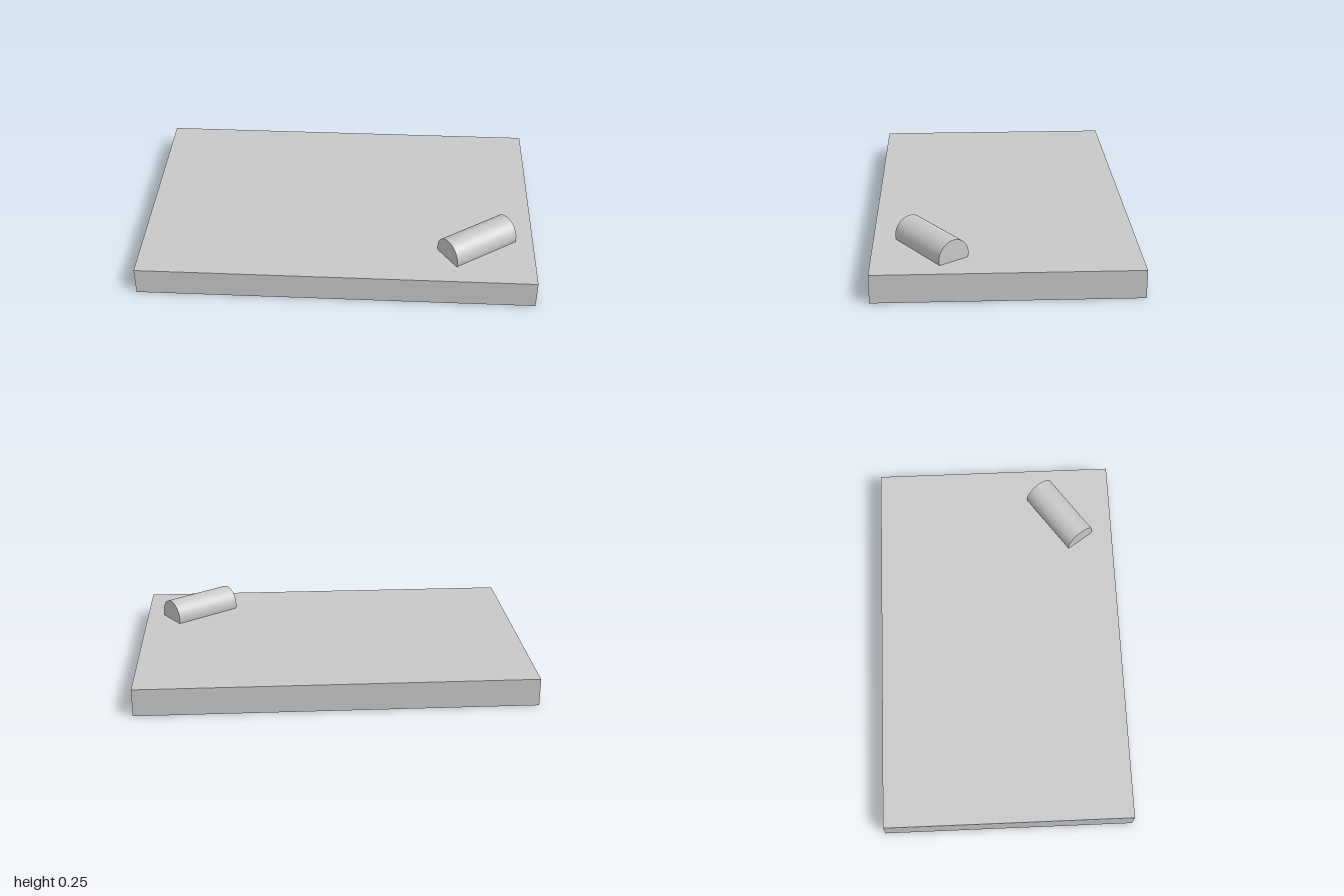
import * as THREE from 'three';

export function createModel() {
  const group = new THREE.Group();
  const grey = new THREE.MeshStandardMaterial({ color: 0xc8c8c8 });
  grey.name = 'light grey';

  // flat rectangular base
  const height = 0.142;
  const slab = new THREE.Mesh(new THREE.BoxGeometry(2, height, 1.28), grey);
  slab.name = 'slab';
  slab.position.y = height / 2;
  group.add(slab);

  // cylinder lying diagonally, partly sunk into the slab
  const radius = 0.084;
  const rollerShape = new THREE.CylinderGeometry(radius, radius, 0.373, 48);
  rollerShape.rotateZ(Math.PI / 2);
  const roller = new THREE.Mesh(rollerShape, grey);
  roller.name = 'roller';
  roller.position.set(0.711, 0.25 - radius, 0.356);
  roller.rotation.y = THREE.MathUtils.degToRad(35);
  group.add(roller);

  return group;
}
